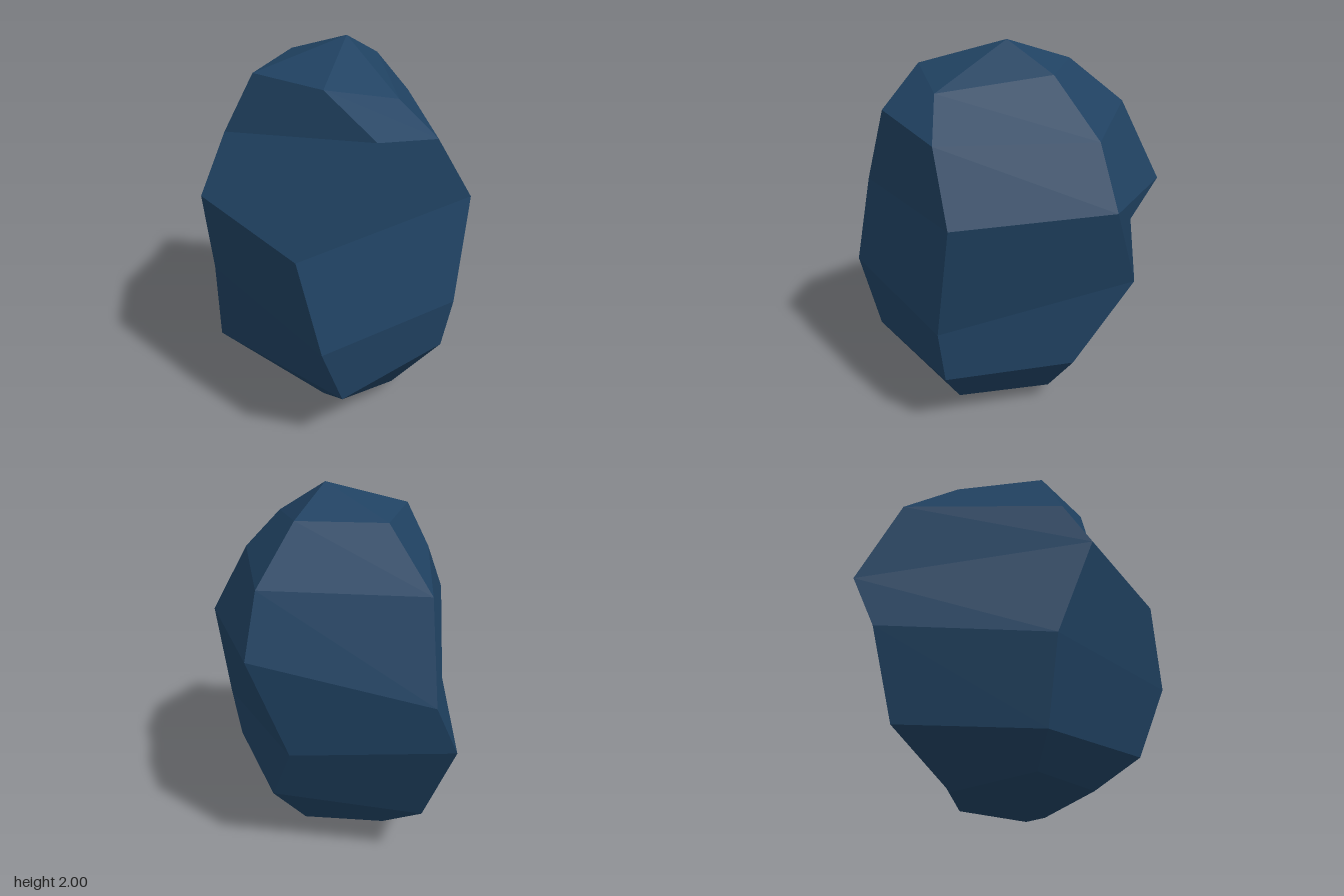
import * as THREE from 'three';

// Five ridges around the stone, each running from the bottom ring to the top ring
const RIDGES = [
  // front left-hand ridge (+x, +z)
  [[0.19, 0.08, 0.49], [0.40, 0.365, 0.64], [0.43, 0.66, 0.68], [0.515, 1.24, 0.635], [0.30, 1.58, 0.615], [0.12, 1.78, 0.53]],
  // left side ridge (+x)
  [[0.32, 0.08, 0], [0.54, 0.355, -0.03], [0.60, 0.80, -0.35], [0.715, 1.26, -0.15], [0.61, 1.59, -0.10], [0.33, 1.86, 0]],
  // back ridge
  [[-0.03, 0.08, -0.29], [-0.03, 0.355, -0.635], [-0.10, 0.80, -0.80], [0.085, 1.13, -0.84], [-0.03, 1.59, -0.64], [-0.03, 1.86, -0.29]],
  // right side ridge (-x)
  [[-0.38, 0.15, -0.03], [-0.59, 0.285, -0.135], [-0.62, 0.77, -0.08], [-0.72, 1.29, 0.09], [-0.56, 1.58, 0.04], [-0.40, 1.85, 0.04]],
  // front right-hand ridge (-x, +z)
  [[-0.24, 0.15, 0.47], [-0.30, 0.365, 0.775], [-0.45, 0.73, 0.84], [-0.52, 1.18, 0.725], [-0.115, 1.67, 0.725], [-0.25, 1.86, 0.48]],
];
const TOP = [0.07, 2, 0.125];
const BOTTOM = [0.01, 0, 0.21];

// Joins neighbouring ridges with strips of flat facets and closes both ends with a fan
function stoneGeometry() {
  const positions = [];
  const normals = [];
  const vec = (from, to) => new THREE.Vector3(...to).sub(new THREE.Vector3(...from));
  const facet = (corners, across, up) => {
    const normal = across.cross(up).normalize();
    for (const corner of corners) {
      positions.push(...corner);
      normals.push(...normal);
    }
  };
  // One shared normal keeps each four-sided facet an even shade
  const quad = (a, b, c, d) => facet([a, b, d, b, c, d], vec(a, c), vec(b, d));
  const tri = (a, b, c) => facet([a, b, c], vec(a, b), vec(a, c));

  RIDGES.forEach((a, i) => {
    const b = RIDGES[(i + 1) % RIDGES.length];
    const last = a.length - 1;
    for (let k = 0; k < last; k++) quad(a[k], b[k], b[k + 1], a[k + 1]);
    tri(a[last], b[last], TOP);
    tri(b[0], a[0], BOTTOM);
  });
  const geometry = new THREE.BufferGeometry();
  geometry.setAttribute('position', new THREE.Float32BufferAttribute(positions, 3));
  geometry.setAttribute('normal', new THREE.Float32BufferAttribute(normals, 3));
  return geometry;
}

export function createModel() {
  const group = new THREE.Group();
  group.name = 'rock';
  const slateBlue = new THREE.MeshStandardMaterial({ color: 0x204262 });
  slateBlue.name = 'slate blue';
  const stone = new THREE.Mesh(stoneGeometry(), slateBlue);
  stone.name = 'stone';
  group.add(stone);
  return group;
}
